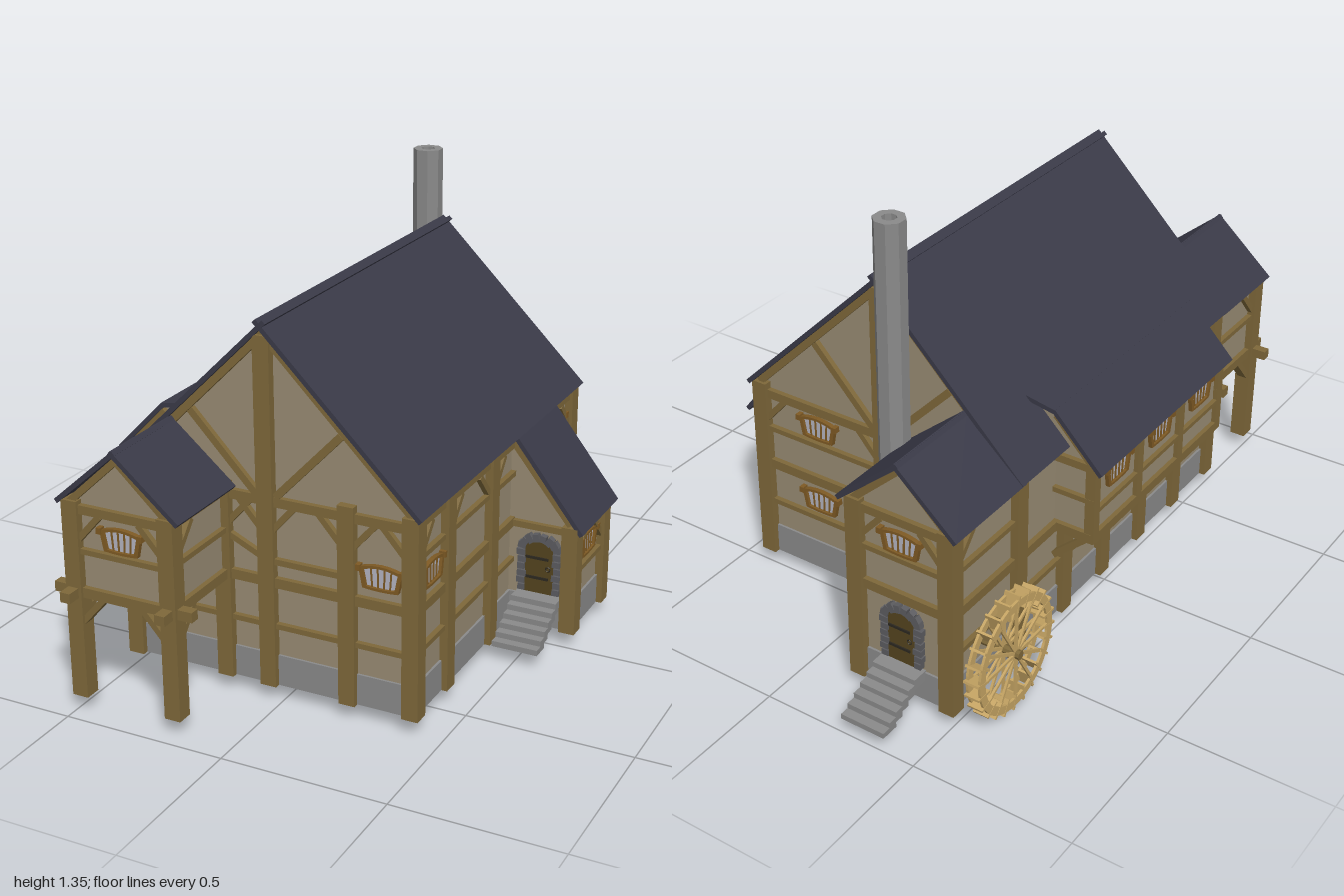
import * as THREE from 'three';

const mat = (color, extra = {}) => new THREE.MeshStandardMaterial({ color, flatShading: true, ...extra });
const M = {
  plaster: mat(0x988b73), wood: mat(0x7e683a), roof: mat(0x3a3a48), stone: mat(0x8a8a8a),
  chimney: mat(0x8a8a8a, { side: THREE.DoubleSide }), rock: mat(0x5c5c60), door: mat(0x54441e), iron: mat(0x2c2820),
  frame: mat(0x7e5a24), pane: mat(0xb4b4c0), wheel: mat(0xc6a564), floor: mat(0x707070),
};
const UP = new THREE.Vector3(0, 1, 0);

function add(parent, name, geo, material, x = 0, y = 0, z = 0) {
  const m = new THREE.Mesh(geo, material);
  m.name = name;
  m.position.set(x, y, z);
  parent.add(m);
  return m;
}

// box given by its two opposite corners
function block(parent, name, material, x0, x1, y0, y1, z0, z1) {
  return add(parent, name, new THREE.BoxGeometry(x1 - x0, y1 - y0, z1 - z0), material,
    (x0 + x1) / 2, (y0 + y1) / 2, (z0 + z1) / 2);
}

// straight bar between two points, w by d in section
function bar(parent, name, material, a, b, w, d) {
  const p = new THREE.Vector3(...a), q = new THREE.Vector3(...b), dir = q.clone().sub(p);
  const m = add(parent, name, new THREE.BoxGeometry(w, dir.length(), d), material, ...p.clone().add(q).multiplyScalar(0.5));
  m.quaternion.setFromUnitVectors(UP, dir.normalize());
  return m;
}

const outline = (pts) => new THREE.Shape(pts.map(([x, y]) => new THREE.Vector2(x, y)));

function prism(parent, name, material, pts, z0, z1) {
  const geo = new THREE.ExtrudeGeometry(outline(pts), { depth: z1 - z0, bevelEnabled: false });
  return add(parent, name, geo, material, 0, 0, z0);
}

const roofSlab = (parent, name, x0, y0, x1, y1, z0, z1) =>
  bar(parent, name, M.roof, [x0, y0, (z0 + z1) / 2], [x1, y1, (z0 + z1) / 2], 0.014, z1 - z0);

// group whose local x runs along a wall and local z points outward
function wallFace(parent, name, x, z, turn) {
  const g = new THREE.Group();
  g.name = name;
  g.position.set(x, 0, z);
  g.rotation.y = turn * Math.PI / 2;
  parent.add(g);
  return g;
}

// timbers as [x0, y0, x1, y1, width]
function timbers(face, list) {
  for (const [x0, y0, x1, y1, w] of list) bar(face, 'timber', M.wood, [x0, y0, 0], [x1, y1, 0], w, w > 0.04 ? 0.05 : 0.032);
}
const posts = (face, xs, y0, y1) => timbers(face, xs.map((x) => [x, y0, x, y1, 0.05]));
const rails = (face, x0, x1, ys) => timbers(face, ys.map(([y, w]) => [x0, y, x1, y, w]));
// diagonal knee braces beside a post; side is -1 or 1
const knees = (face, list, y = 0.615) =>
  timbers(face, list.map(([x, side]) => [x + side * 0.015, y - 0.085, x + side * 0.09, y, 0.018]));

// flared window with a curved head, bars and sill
function windowUnit(face, x, y) {
  const g = new THREE.Group();
  g.name = 'window';
  g.position.set(x, y, -0.004);
  face.add(g);
  const shape = (k) => {
    const s = new THREE.Shape();
    s.moveTo(-0.054 * k, -0.034 * k);
    s.quadraticCurveTo(0, -0.04 * k, 0.054 * k, -0.034 * k);
    s.lineTo(0.066 * k, 0.026 * k);
    s.quadraticCurveTo(0, 0.05 * k, -0.066 * k, 0.026 * k);
    return s;
  };
  const ring = shape(1);
  ring.holes.push(new THREE.Path(shape(0.8).getPoints(6).reverse()));
  add(g, 'windowFrame', new THREE.ExtrudeGeometry(ring, { depth: 0.018, bevelEnabled: false, curveSegments: 6 }), M.frame);
  add(g, 'windowPane', new THREE.ExtrudeGeometry(shape(0.85), { depth: 0.009, bevelEnabled: false, curveSegments: 6 }), M.pane);
  for (const k of [-1.5, -0.5, 0.5, 1.5])
    bar(g, 'windowBar', M.frame, [k * 0.018, -0.03, 0.009], [k * 0.021, 0.032, 0.009], 0.004, 0.008);
  for (const s of [-1, 1]) block(g, 'windowLug', M.frame, s * 0.066 - 0.007, s * 0.066 + 0.007, 0.016, 0.034, 0, 0.024);
}

// arched door with a ring of stones and iron straps
function doorUnit(face, x, y) {
  const g = new THREE.Group();
  g.name = 'door';
  g.position.set(x, y, 0);
  face.add(g);
  const s = new THREE.Shape();
  s.moveTo(-0.045, 0);
  s.lineTo(0.045, 0);
  s.lineTo(0.045, 0.15);
  s.quadraticCurveTo(0, 0.19, -0.045, 0.15);
  add(g, 'doorLeaf', new THREE.ExtrudeGeometry(s, { depth: 0.014, bevelEnabled: false }), M.door);
  for (const h of [0.05, 0.115]) block(g, 'strap', M.iron, -0.042, 0.03, h - 0.004, h + 0.004, 0.012, 0.018);
  add(g, 'handle', new THREE.TorusGeometry(0.007, 0.002, 4, 8), M.iron, 0.03, 0.085, 0.018);
  const stone = (px, py, r, i) => {
    const m = add(g, 'doorStone', new THREE.BoxGeometry(0.022 + (i % 3) * 0.003, 0.019, 0.026), M.rock, px, py, 0.006);
    m.rotation.z = r;
  };
  for (const side of [-1, 1]) for (let i = 0; i < 6; i++) stone(side * (0.055 + (i % 2) * 0.003), 0.012 + i * 0.023, 0, i);
  for (let i = 0; i < 8; i++) {
    const a = Math.PI * (i + 0.5) / 8;
    stone(Math.cos(a) * 0.056, 0.143 + Math.sin(a) * 0.037, a, i);
  }
}

// flight descending outward from a wall, open underneath
function steps(face, x, top, run) {
  const n = 6, h = (top - 0.05) / n, d = (run - 0.025) / n;
  for (let i = 0; i < n; i++) {
    const y = top - i * h;
    block(face, 'step', M.stone, x - 0.072, x + 0.072, Math.max(0.05, y - 2 * h), y, i ? 0.025 + d * i : 0, 0.025 + d * (i + 1));
  }
}

// thin stone skirt on the given sides with a raised floor inside
function plinth(parent, x0, x1, z0, z1, sides) {
  const t = 0.008, y0 = 0.05, y1 = 0.145;
  const walls = { front: [x0, x1, z1 - t, z1], back: [x0, x1, z0, z0 + t], left: [x0, x0 + t, z0, z1], right: [x1 - t, x1, z0, z1] };
  for (const side of sides) {
    const [a, b, c, d] = walls[side];
    block(parent, 'plinth', M.stone, a, b, y0, y1, c, d);
  }
  block(parent, 'floor', M.floor, x0 + t, x1 - t, 0.125, 0.138, z0 + t, z1 - t);
}

function waterWheel(parent) {
  const g = new THREE.Group();
  g.name = 'waterWheel';
  g.position.set(-0.576, 0.195, -0.647);
  g.rotation.y = Math.PI / 2;
  parent.add(g);
  const ring = new THREE.Shape().absarc(0, 0, 0.18, 0, Math.PI * 2);
  ring.holes.push(new THREE.Path().absarc(0, 0, 0.155, 0, Math.PI * 2, true));
  const rim = new THREE.ExtrudeGeometry(ring, { depth: 0.008, bevelEnabled: false, curveSegments: 24 });
  for (const z of [-0.024, 0.016]) add(g, 'wheelRim', rim, M.wheel, 0, 0, z);
  for (let i = 0; i < 24; i++) {
    const a = i * Math.PI / 12, at = (r, z = 0, da = 0) => [Math.cos(a + da) * r, Math.sin(a + da) * r, z];
    bar(g, 'paddle', M.wheel, at(0.14), at(0.191, 0, 0.06), 0.007, 0.05);
    if (i % 2 === 0) for (const z of [-0.02, 0.02]) bar(g, 'spoke', M.wheel, at(0.01, z), at(0.16, z), 0.009, 0.007);
  }
  add(g, 'axle', new THREE.CylinderGeometry(0.014, 0.014, 0.14, 8), M.wood, 0, 0, 0.034).rotation.x = Math.PI / 2;
}

export function createModel() {
  const house = new THREE.Group();
  house.name = 'millHouse';

  // main hall
  plinth(house, -0.492, 0.412, -0.492, 0.652, ['front', 'back', 'left', 'right']);
  prism(house, 'hallWalls', M.plaster, [[-0.485, 0.14], [0.405, 0.14], [0.405, 0.67], [-0.04, 1.115], [-0.485, 0.67]], -0.485, 0.645);
  roofSlab(house, 'hallRoof', -0.055, 1.141, 0.437, 0.652, -0.52, 0.675);
  roofSlab(house, 'hallRoof', -0.025, 1.141, -0.525, 0.645, -0.52, 0.675);
  for (const [name, z, turn, f] of [['frontWall', 0.645, 0, 1], ['backWall', -0.485, 2, -1]]) {
    const w = wallFace(house, name, 0, z, turn), c = -0.04 * f;
    posts(w, [-0.485 * f, -0.18 * f, 0.405 * f], 0.05, 0.655);
    posts(w, [c], 0.05, 1.1);
    rails(w, -0.485 * f, 0.405 * f, [[0.24, 0.016], [0.375, 0.03], [0.62, 0.028]]);
    for (const s of [-1, 1])
      timbers(w, [[c + s * 0.45, 0.655, c, 1.105, 0.026], [c + s * 0.03, 0.635, c + s * 0.235, 0.85, 0.022]]);
    knees(w, [[0.405 * f, -f], [-0.04 * f, f], [-0.04 * f, -f], [-0.18 * f, f], [-0.485 * f, f]]);
    if (f > 0) {
      posts(w, [0.21], 0.05, 0.655);
      knees(w, [[0.21, 1], [0.21, -1]]);
      timbers(w, [[-0.04, 0.44, 0.21, 0.44, 0.018], [-0.17, 0.5, -0.05, 0.445, 0.018]]);
      windowUnit(w, 0.31, 0.455);
    } else {
      rails(w, -0.405, 0.04, [[0.5, 0.016]]);
      windowUnit(w, -0.2, 0.555);
      windowUnit(w, -0.2, 0.3);
    }
  }
  const right = wallFace(house, 'rightWall', 0.405, 0, 1);
  posts(right, [-0.45, -0.145, 0.3], 0.05, 0.655);
  rails(right, -0.645, 0.485, [[0.25, 0.016], [0.375, 0.028], [0.53, 0.016], [0.63, 0.028]]);
  knees(right, [[-0.645, 1], [-0.45, 1], [-0.145, -1], [-0.145, 1], [0.485, -1]]);
  windowUnit(right, -0.545, 0.455);
  windowUnit(right, 0.37, 0.55);
  const left = wallFace(house, 'leftWall', -0.485, 0, -1);
  posts(left, [-0.24, -0.02, 0.2, 0.42], 0.05, 0.655);
  rails(left, -0.485, 0.645, [[0.24, 0.016], [0.375, 0.03], [0.63, 0.028]]);
  block(house, 'beamEnd', M.wood, -0.555, -0.48, 0.36, 0.39, 0.625, 0.655);

  // front room on stilts and back room, sharing one gable form
  for (const [name, z0, z1, y0] of [['stiltRoom', 0.64, 0.93, 0.365], ['backRoom', -0.8, -0.48, 0.14]]) {
    const room = new THREE.Group(), front = z0 > 0, end = front ? z1 : z0, f = front ? 1 : -1;
    room.name = name;
    house.add(room);
    prism(room, 'roomWalls', M.plaster, [[-0.485, y0], [-0.18, y0], [-0.18, 0.65], [-0.3325, 0.793], [-0.485, 0.65]], z0, z1);
    const rz = front ? [0.66, 0.957] : [-0.835, -0.5];
    roofSlab(room, 'roomRoof', -0.342, 0.816, -0.138, 0.642, ...rz);
    roofSlab(room, 'roomRoof', -0.328, 0.816, -0.525, 0.642, ...rz);
    const e = wallFace(room, 'gableWall', 0, end, front ? 0 : 2);
    posts(e, [-0.485 * f, -0.18 * f], 0.05, 0.65);
    rails(e, -0.485 * f, -0.18 * f, [[0.375, 0.03], [0.5, 0.016], [0.625, 0.026]]);
    for (const s of [-1, 1]) timbers(e, [[-0.3325 * f + s * 0.165, 0.635, -0.3325 * f, 0.788, 0.02]]);
    knees(e, [[-0.485 * f, f], [-0.18 * f, -f]]);
    windowUnit(e, -0.33 * f, 0.55);
    for (const [x, turn] of [[-0.18, 1], [-0.485, -1]]) {
      const s = wallFace(room, 'sideWall', x, 0, turn);
      rails(s, -turn * z0, -turn * z1, [[0.375, 0.03], [0.51, 0.016], [0.63, 0.026]]);
      knees(s, [[-turn * end, turn * f]]);
      if (front) knees(s, [[-turn * end, turn]], 0.365);
      else {
        rails(s, -turn * z0, -turn * z1, [[0.24, 0.016]]);
        if (turn > 0) windowUnit(s, 0.655, 0.3);
      }
    }
    if (front) {
      block(room, 'crossBeam', M.wood, -0.555, -0.11, 0.36, 0.39, 0.915, 0.945);
      for (const x of [-0.485, -0.18]) block(room, 'floorBeam', M.wood, x - 0.016, x + 0.016, 0.36, 0.39, 0.65, 0.997);
      knees(e, [[-0.485, 1], [-0.18, -1]], 0.365);
    } else {
      plinth(room, -0.492, -0.173, -0.807, -0.48, ['back', 'left', 'right']);
      doorUnit(e, 0.33, 0.155);
      steps(e, 0.33, 0.15, 0.2);
    }
  }

  // side porch with lean-to roof
  const porch = new THREE.Group();
  porch.name = 'sidePorch';
  house.add(porch);
  plinth(porch, 0.39, 0.612, -0.272, -0.018, ['front', 'back', 'right']);
  prism(porch, 'porchWalls', M.plaster, [[0.4, 0.14], [0.605, 0.14], [0.605, 0.405], [0.4, 0.66]], -0.265, -0.025);
  roofSlab(porch, 'porchRoof', 0.41, 0.675, 0.642, 0.377, -0.305, 0);
  for (const [z, turn, f] of [[-0.025, 0, 1], [-0.265, 2, -1]]) {
    const w = wallFace(porch, 'porchEnd', 0, z, turn);
    posts(w, [0.605 * f], 0.05, 0.395);
    timbers(w, [[0.42 * f, 0.632, 0.605 * f, 0.4, 0.024], [0.405 * f, 0.375, 0.605 * f, 0.375, 0.02]]);
    if (f > 0) {
      doorUnit(w, 0.508, 0.16);
      steps(w, 0.508, 0.155, 0.195);
    } else rails(w, -0.605, -0.405, [[0.24, 0.016]]);
  }
  const porchSide = wallFace(porch, 'porchSide', 0.605, 0, 1);
  rails(porchSide, 0.025, 0.265, [[0.24, 0.016], [0.375, 0.026]]);
  knees(porchSide, [[0.025, 1], [0.265, -1]], 0.365);
  windowUnit(porchSide, 0.14, 0.3);

  // jettied bay on the left
  const bay = new THREE.Group();
  bay.name = 'jettiedBay';
  house.add(bay);
  prism(bay, 'bayWalls', M.plaster, [[-0.61, 0.365], [-0.45, 0.365], [-0.39, 0.77], [-0.49, 0.752], [-0.61, 0.628]], -0.28, 0.45);
  roofSlab(bay, 'bayRoof', -0.488, 0.763, -0.645, 0.603, -0.305, 0.47);
  roofSlab(bay, 'bayRoof', -0.395, 0.777, -0.492, 0.76, -0.305, 0.47);
  const baySide = wallFace(bay, 'baySide', -0.608, 0, -1);
  const bayPosts = [-0.28, -0.037, 0.207, 0.45];
  timbers(baySide, bayPosts.map((z) => [z, 0.36, z, 0.615, 0.03]));
  rails(baySide, -0.28, 0.45, [[0.375, 0.03], [0.465, 0.014], [0.61, 0.024]]);
  for (let i = 0; i < 3; i++) windowUnit(baySide, -0.158 + i * 0.2435, 0.545);
  for (const z of bayPosts) bar(bay, 'bracket', M.wood, [-0.49, 0.27, z], [-0.595, 0.365, z], 0.02, 0.025);
  for (const [z, turn, f] of [[0.45, 0, 1], [-0.28, 2, -1]]) {
    const w = wallFace(bay, 'bayEnd', 0, z, turn);
    rails(w, -0.62 * f, -0.48 * f, [[0.375, 0.03], [0.5, 0.016], [0.61, 0.024]]);
    timbers(w, [[-0.61 * f, 0.62, -0.49 * f, 0.745, 0.02]]);
  }

  // chimney with a shallow flue opening
  const flue = [[0.047, 0.05], [0.047, 1.35], [0.022, 1.35], [0.022, 1.33], [0, 1.33]].map((p) => new THREE.Vector2(...p));
  add(house, 'chimney', new THREE.LatheGeometry(flue, 8, Math.PI / 8), M.chimney, -0.117, 0, -0.543);
  block(house, 'chimneyBase', M.stone, -0.17, -0.06, 0.05, 0.165, -0.61, -0.485);
  block(house, 'chimneyFoot', M.stone, -0.172, -0.04, 0.05, 0.145, -0.63, -0.485);

  waterWheel(house);
  return house;
}
